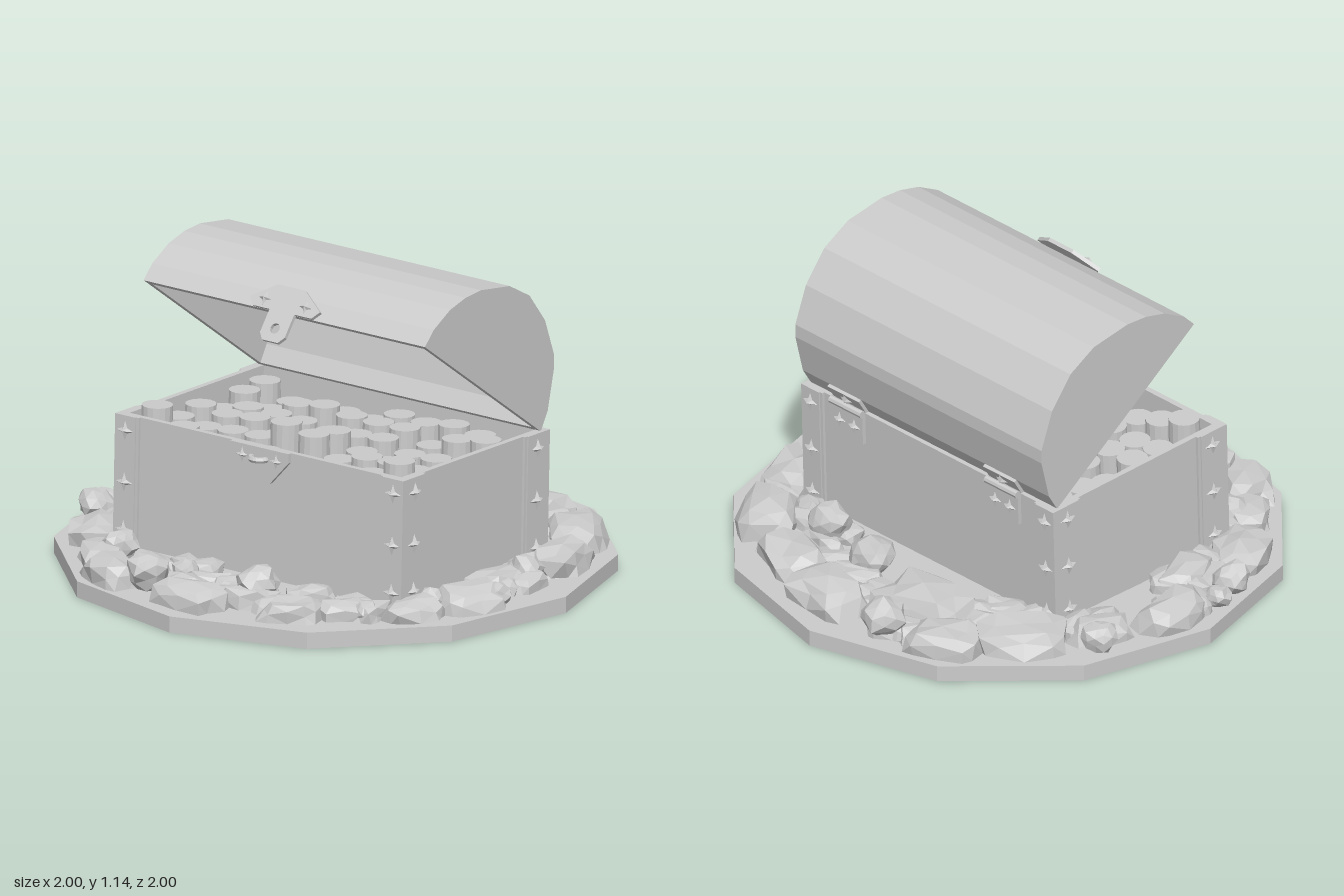
import * as THREE from 'three';

const mat = new THREE.MeshStandardMaterial({ color: 0xcccccc, flatShading: true, side: THREE.DoubleSide });

let seed = 7;
const rnd = () => (seed = (seed * 16807) % 2147483647) / 2147483647;

function add(parent, name, geo, x = 0, y = 0, z = 0) {
  const m = new THREE.Mesh(geo, mat);
  m.name = name;
  m.position.set(x, y, z);
  parent.add(m);
  return m;
}
const box = (parent, name, w, h, d, x, y, z) => add(parent, name, new THREE.BoxGeometry(w, h, d), x, y, z);
const extrude = (shape, depth) => new THREE.ExtrudeGeometry(shape, { depth, bevelEnabled: false, curveSegments: 5 });

// Symmetric plate outline from its right half
function mirrored(half) {
  const right = half.map(([x, y]) => new THREE.Vector2(x, y));
  const left = half.map(([x, y]) => new THREE.Vector2(-x, y)).reverse();
  return new THREE.Shape([...right, ...left]);
}

// Four-pointed star stud, its tip along +y
function studGeometry() {
  const g = new THREE.ConeGeometry(0.04, 0.02, 8, 1);
  const p = g.attributes.position;
  for (let i = 0; i < p.count; i++) {
    const k = Math.abs(p.getX(i) * p.getZ(i)) > 0.0004 ? 0.38 : 1;
    p.setXYZ(i, p.getX(i) * k, p.getY(i), p.getZ(i) * k);
  }
  return g;
}
const studGeo = studGeometry();
function stud(parent, x, y, z, nx, nz, scale = 1) {
  const m = add(parent, 'stud', studGeo, x, y, z);
  m.quaternion.setFromUnitVectors(new THREE.Vector3(0, 1, 0), new THREE.Vector3(nx, 0, nz));
  m.scale.setScalar(scale);
}

// Rock: icosahedron with each corner pushed by a position hash; power below 1 squares it off
function rock(parent, name, x, y, z, a, b, c, angle, power) {
  const g = new THREE.IcosahedronGeometry(1, 1);
  const p = g.attributes.position;
  const s = rnd() * 50;
  for (let i = 0; i < p.count; i++) {
    const v = new THREE.Vector3().fromBufferAttribute(p, i);
    const h = Math.sin(Math.round(v.x * 50) * 1.7 + Math.round(v.y * 50) * 2.9 + Math.round(v.z * 50) * 4.3 + s) * 437.5;
    const n = 0.8 + 0.32 * (h - Math.floor(h));
    const f = (t) => Math.sign(t) * Math.abs(t) ** power * n;
    p.setXYZ(i, f(v.x) * a, Math.max(f(v.y) * b, 0.035 - y), f(v.z) * c);
  }
  add(parent, name, g, x, y, z).rotation.y = angle;
}

function buildRocks(root) {
  const rocks = new THREE.Group();
  rocks.name = 'rocks';
  // Slabs lying along the rim: x, z, half length
  const slabs = [
    [0.05, -0.86, 0.15], [0.31, -0.76, 0.12], [0.55, -0.61, 0.17], [0.76, -0.42, 0.15], [0.63, -0.2, 0.2],
    [0.8, 0.1, 0.17], [0.7, 0.38, 0.15], [0.54, 0.65, 0.17], [0.27, 0.79, 0.15], [-0.05, 0.74, 0.13],
    [-0.3, 0.8, 0.14], [-0.5, 0.7, 0.12], [-0.64, 0.5, 0.11], [-0.77, 0.36, 0.12], [-0.84, -0.02, 0.15],
    [-0.72, 0.14, 0.12], [-0.78, -0.4, 0.14], [-0.64, -0.56, 0.12], [-0.42, -0.73, 0.15], [-0.18, -0.7, 0.13],
  ];
  for (const [x, z, l] of slabs) rock(rocks, 'slabRock', x, 0.06, z, l, l * 0.6, l * 0.68, Math.atan2(-x, -z), 0.65);
  // Round rocks on top: x, z, radius
  const boulders = [
    [0.83, -0.2, 0.085], [0.55, 0.14, 0.085], [0.48, 0.41, 0.08], [0.06, 0.78, 0.065], [-0.4, 0.7, 0.05],
    [-0.2, 0.85, 0.05], [-0.62, 0.58, 0.045], [-0.68, 0.15, 0.08], [-0.78, -0.25, 0.08], [-0.63, -0.2, 0.05],
    [-0.58, -0.52, 0.07], [-0.24, -0.87, 0.07], [-0.14, -0.9, 0.05], [0.37, -0.82, 0.065],
  ];
  for (const [x, z, r] of boulders) rock(rocks, 'roundRock', x, 0.045 + r, z, r, r * 0.9, r, rnd() * 6, 1);
  // Low stones filling the gaps
  for (let i = 0; i < 70; i++) {
    const t = i * 2.39996;
    const r = 0.58 + 0.27 * rnd();
    const x = Math.sin(t) * r, z = Math.cos(t) * r;
    if (x > -0.54 && x < 0.41 && Math.abs(z - 0.02) < 0.66) continue;
    rock(rocks, 'smallRock', x, 0.06, z, 0.095, 0.055, 0.06, t + rnd(), 0.65);
  }
  root.add(rocks);
}

function buildBody(chest) {
  const body = new THREE.Group();
  body.name = 'chestBody';
  body.position.y = 0.06;
  body.rotation.z = -0.03;
  chest.add(body);
  const X = 0.41, Z = 0.625, H = 0.48, T = 0.022;
  box(body, 'floor', 2 * X, 0.03, 2 * Z, 0, 0.015, 0);
  for (const s of [-1, 1]) {
    box(body, 'sideWall', T, H, 2 * Z, s * (X - T / 2), H / 2, 0);
    box(body, 'endWall', 2 * X - 2 * T, H, T, 0, H / 2, s * (Z - T / 2));
  }
  // Metal corner strips with star studs
  for (const sx of [-1, 1]) for (const sz of [-1, 1]) {
    box(body, 'cornerStrip', 0.015, H, 0.09, sx * (X + 0.0075), H / 2, sz * (Z - 0.03));
    box(body, 'cornerStrip', 0.11, H, 0.015, sx * (X - 0.055), H / 2, sz * (Z + 0.0075));
    box(body, 'stripEdge', 0.012, H, 0.01, sx * (X - 0.116), H / 2, sz * (Z + 0.005));
    box(body, 'stripEdge', 0.01, H, 0.012, sx * (X + 0.005), H / 2, sz * (Z - 0.081));
    for (const y of [0.06, 0.235, 0.425]) {
      stud(body, sx * (X + 0.023), y, sz * (Z - 0.03), sx, 0);
      stud(body, sx * (X - 0.055), y, sz * (Z + 0.023), 0, sz);
    }
  }
  // Hinges on the back wall
  for (const z of [-0.38, 0.41]) {
    box(body, 'hingePlate', 0.015, 0.125, 0.16, X + 0.007, 0.42, z);
    const pin = add(body, 'hingePin', new THREE.CylinderGeometry(0.014, 0.014, 0.16, 8), X + 0.014, H, z);
    pin.rotation.x = Math.PI / 2;
    for (const d of [-0.037, 0.037]) stud(body, X + 0.022, 0.415, z + d, 1, 0, 0.8);
  }
  // Lock plate and staple
  const plate = mirrored([[0.05, -0.125], [0.13, -0.035], [0.13, 0]]);
  add(body, 'lockPlate', extrude(plate, 0.015), -X, H, 0).rotation.y = -Math.PI / 2;
  for (const d of [-0.075, 0.075]) stud(body, -X - 0.022, H - 0.04, d, -1, 0, 0.7);
  const staple = add(body, 'staple', new THREE.TorusGeometry(0.032, 0.011, 6, 10, Math.PI), -X - 0.012, H - 0.04, 0);
  staple.rotation.set(Math.PI / 2, 0, Math.PI / 2);
  // Stacks of coins filling the box
  for (let i = 0; i < 6; i++) for (let j = 0; j < 10; j++) {
    const h = 0.37 + 0.06 * rnd() + (rnd() > 0.85 ? 0.06 : 0);
    add(body, 'coinStack', new THREE.CylinderGeometry(0.056, 0.056, h, 16),
      -0.315 + i * 0.125 + (rnd() - 0.5) * 0.01, 0.03 + h / 2, -0.535 + j * 0.119);
  }
}

function buildLid(chest) {
  const lid = new THREE.Group();
  lid.name = 'lid';
  chest.add(lid);
  // Profile from the hinge over the vault to the front lip
  const outer = [[0.405, 0.525], [0.445, 0.59], [0.482, 0.74], [0.482, 0.79], [0.43, 0.93], [0.34, 1.045], [0.225, 1.11],
    [0.06, 1.137], [-0.03, 1.132], [-0.12, 1.11], [-0.215, 1.06], [-0.265, 1.01]].map(([x, y]) => new THREE.Vector2(x, y));
  const centre = outer[0].clone().lerp(outer[outer.length - 1], 0.5);
  const inner = outer.map((p) => centre.clone().lerp(p, 0.93)).reverse();
  add(lid, 'lidShell', extrude(new THREE.Shape([...outer, ...inner]), 1.25), 0, 0, -0.625);
  for (const z of [-0.625, 0.603]) add(lid, 'lidEnd', extrude(new THREE.Shape(outer), 0.022), 0, 0, z);
  // Hinge leaves on the lowest facet
  for (const z of [-0.38, 0.41]) {
    const leaf = box(lid, 'hingeLeaf', 0.014, 0.075, 0.16, 0.43, 0.556, z);
    leaf.rotation.z = -0.55;
    stud(leaf, 0.014, 0.005, 0, 1, 0, 0.8);
  }
  // Hasp with a pierced tongue
  const hasp = new THREE.Group();
  hasp.name = 'hasp';
  hasp.position.set(-0.262, 1.02, 0);
  hasp.rotation.set(0, -Math.PI / 2, -0.66, 'ZYX');
  lid.add(hasp);
  const outline = mirrored([[0.035, -0.125], [0.055, -0.1], [0.055, -0.01], [0.13, -0.01], [0.155, 0.02], [0.06, 0.085]]);
  outline.holes.push(new THREE.Path().absarc(0, -0.075, 0.02, 0, Math.PI * 2, true));
  add(hasp, 'haspPlate', extrude(outline, 0.014));
  for (const d of [-0.09, 0.09]) stud(hasp, d, 0.025, 0.022, 0, 1, 0.7);
}

export function createModel() {
  const root = new THREE.Group();
  root.name = 'treasureChest';
  add(root, 'base', new THREE.CylinderGeometry(1, 1, 0.06, 12), 0, 0.03, 0);
  buildRocks(root);
  const chest = new THREE.Group();
  chest.name = 'chest';
  chest.position.set(-0.07, 0, 0.025);
  chest.rotation.y = -0.028;
  root.add(chest);
  buildBody(chest);
  buildLid(chest);
  return root;
}
